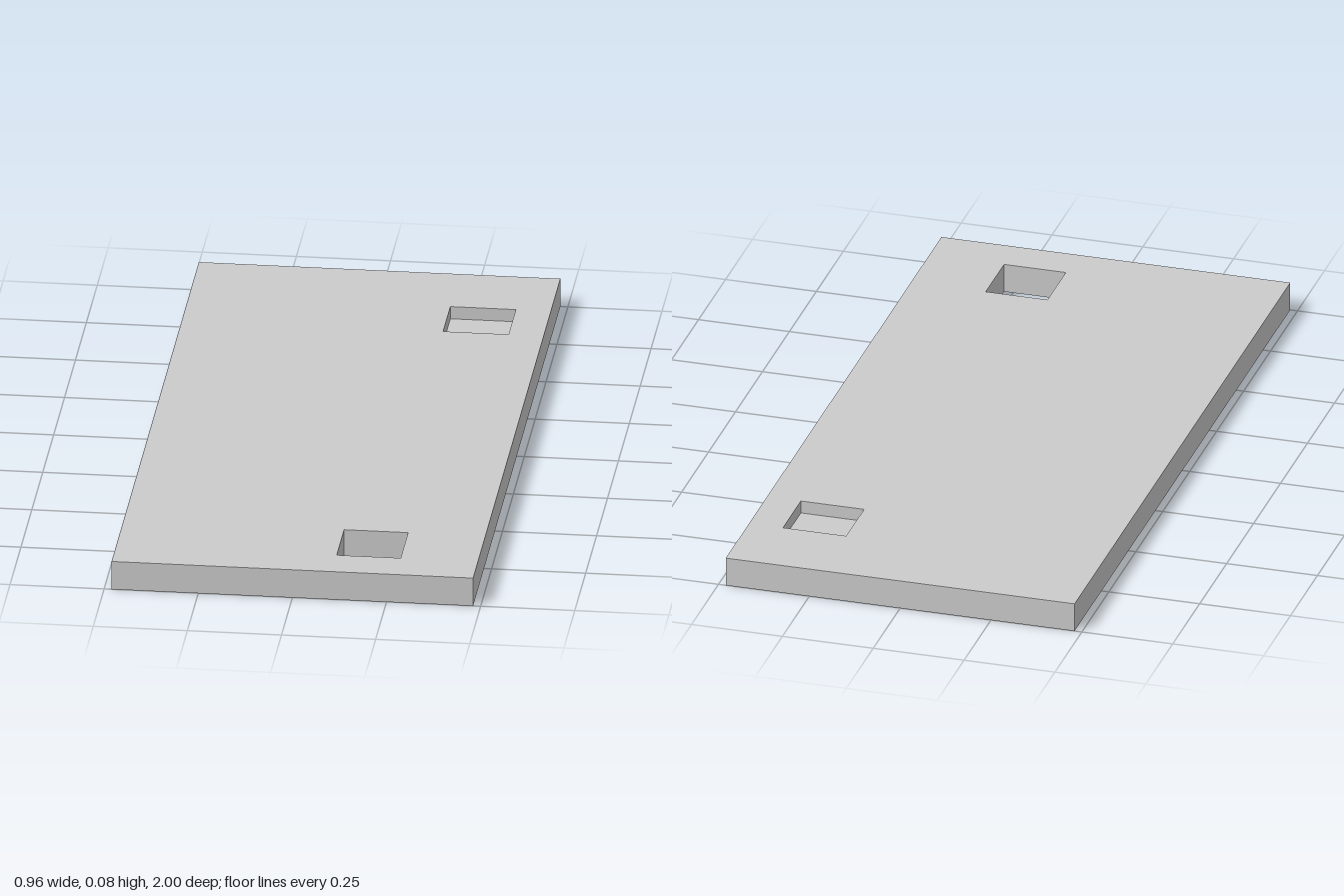
import * as THREE from 'three';
import { mergeGeometries } from 'three/addons/utils/BufferGeometryUtils.js';

const HEIGHT = 0.08;
const POCKET_FLOOR = 0.045;
// Rectangles in plan: centre x, z and size w (x), d (z)
const OUTLINE = { x: 0, z: 0, w: 0.96, d: 2 };
const THROUGH_HOLE = { x: 0.19, z: 0.805, w: 0.17, d: 0.17 };
const POCKET = { x: 0.3, z: -0.7, w: 0.174, d: 0.166 };

function trace(path, r, zSign) {
  const z = r.z * zSign;
  path.moveTo(r.x - r.w / 2, z - r.d / 2);
  path.lineTo(r.x + r.w / 2, z - r.d / 2);
  path.lineTo(r.x + r.w / 2, z + r.d / 2);
  path.lineTo(r.x - r.w / 2, z + r.d / 2);
  path.closePath();
  return path;
}

// Horizontal face with cut-outs, facing up or down
function face(outline, holes, y, up) {
  const zSign = up ? -1 : 1;
  const shape = trace(new THREE.Shape(), outline, zSign);
  shape.holes = holes.map((h) => trace(new THREE.Path(), h, zSign));
  return new THREE.ShapeGeometry(shape).rotateX((zSign * Math.PI) / 2).translate(0, y, 0);
}

// Four upright walls around a rectangle, facing outward or inward
function walls(r, y0, y1, inward) {
  return [0, 1, 2, 3].map((i) => {
    const alongX = i % 2 === 0;
    const angle = (i * Math.PI) / 2;
    const reach = (alongX ? r.d : r.w) / 2;
    return new THREE.PlaneGeometry(alongX ? r.w : r.d, y1 - y0)
      .rotateY(angle + (inward ? Math.PI : 0))
      .translate(r.x + Math.sin(angle) * reach, (y0 + y1) / 2, r.z + Math.cos(angle) * reach);
  });
}

export function createModel() {
  const group = new THREE.Group();
  group.name = 'panel';
  const material = new THREE.MeshStandardMaterial({ color: 0xcccccc });
  const add = (name, parts) => {
    const mesh = new THREE.Mesh(mergeGeometries(parts), material);
    mesh.name = name;
    group.add(mesh);
  };

  // Flat slab
  add('slab', [
    face(OUTLINE, [THROUGH_HOLE, POCKET], HEIGHT, true),
    face(OUTLINE, [THROUGH_HOLE], 0, false),
    ...walls(OUTLINE, 0, HEIGHT, false),
  ]);
  // Square opening right through the slab
  add('throughHole', walls(THROUGH_HOLE, 0, HEIGHT, true));
  // Shallow blind recess
  add('pocket', [face(POCKET, [], POCKET_FLOOR, true), ...walls(POCKET, POCKET_FLOOR, HEIGHT, true)]);

  return group;
}
